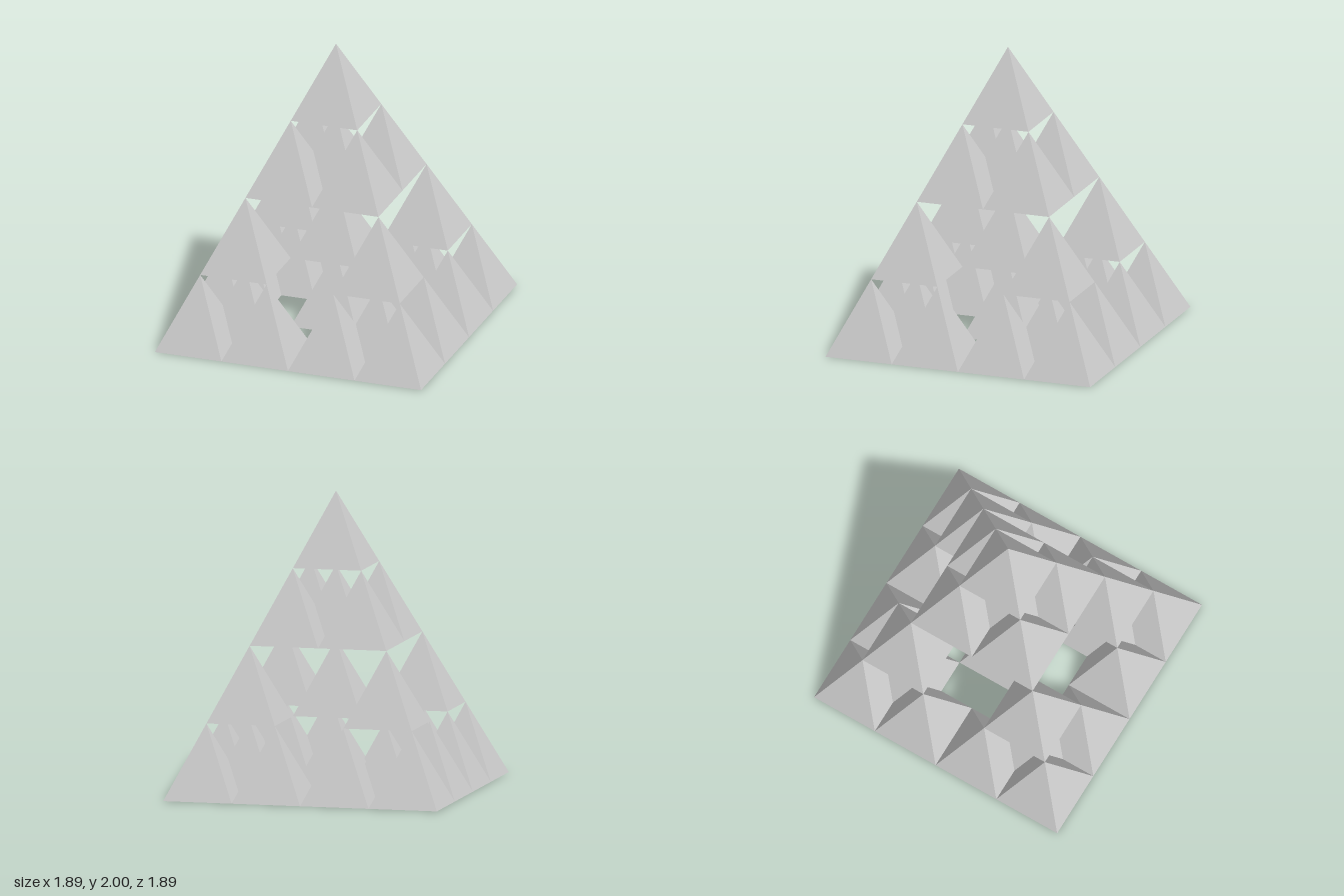
import * as THREE from 'three';

const HALF = 0.946; // half the base width of the whole pyramid
const HEIGHT = 2;
const DEPTH = 2;

// Each pyramid splits into six half-size ones: four corners, a base centre and a top.
function subdivide(x, y, z, half, height, depth, cells) {
  if (depth === 0) {
    const key = [x, y, z].map((v) => Math.round(v * 1000) + 0).join();
    cells.set(key, [...(cells.get(key) ?? []), { x, y, z }]);
    return cells;
  }
  const h = half / 2;
  const next = (dx, dy, dz) => subdivide(x + dx, y + dy, z + dz, h, height / 2, depth - 1, cells);
  for (const sx of [-1, 1]) for (const sz of [-1, 1]) next(sx * h, 0, sz * h);
  next(0, 0, 0);
  next(0, height / 2, 0);
  return cells;
}

export function createModel() {
  const model = new THREE.Group();
  model.name = 'fractalPyramid';
  const material = new THREE.MeshStandardMaterial({ color: 0xcccccc, flatShading: true });

  // One square pyramid standing on its base
  const half = HALF / 2 ** DEPTH;
  const height = HEIGHT / 2 ** DEPTH;
  const geometry = new THREE.ConeGeometry(half * Math.SQRT2, height, 4, 1);
  geometry.rotateY(Math.PI / 4);
  geometry.translate(0, height / 2, 0);

  // Coinciding cells cancel out, leaving the openings around the base centre
  for (const copies of subdivide(0, 0, 0, HALF, HEIGHT, DEPTH, new Map()).values()) {
    if (copies.length > 1) continue;
    const { x, y, z } = copies[0];
    const mesh = new THREE.Mesh(geometry, material);
    mesh.name = `smallPyramidTier${Math.round(y / height) + 1}`;
    mesh.position.set(x, y, z);
    model.add(mesh);
  }
  return model;
}
